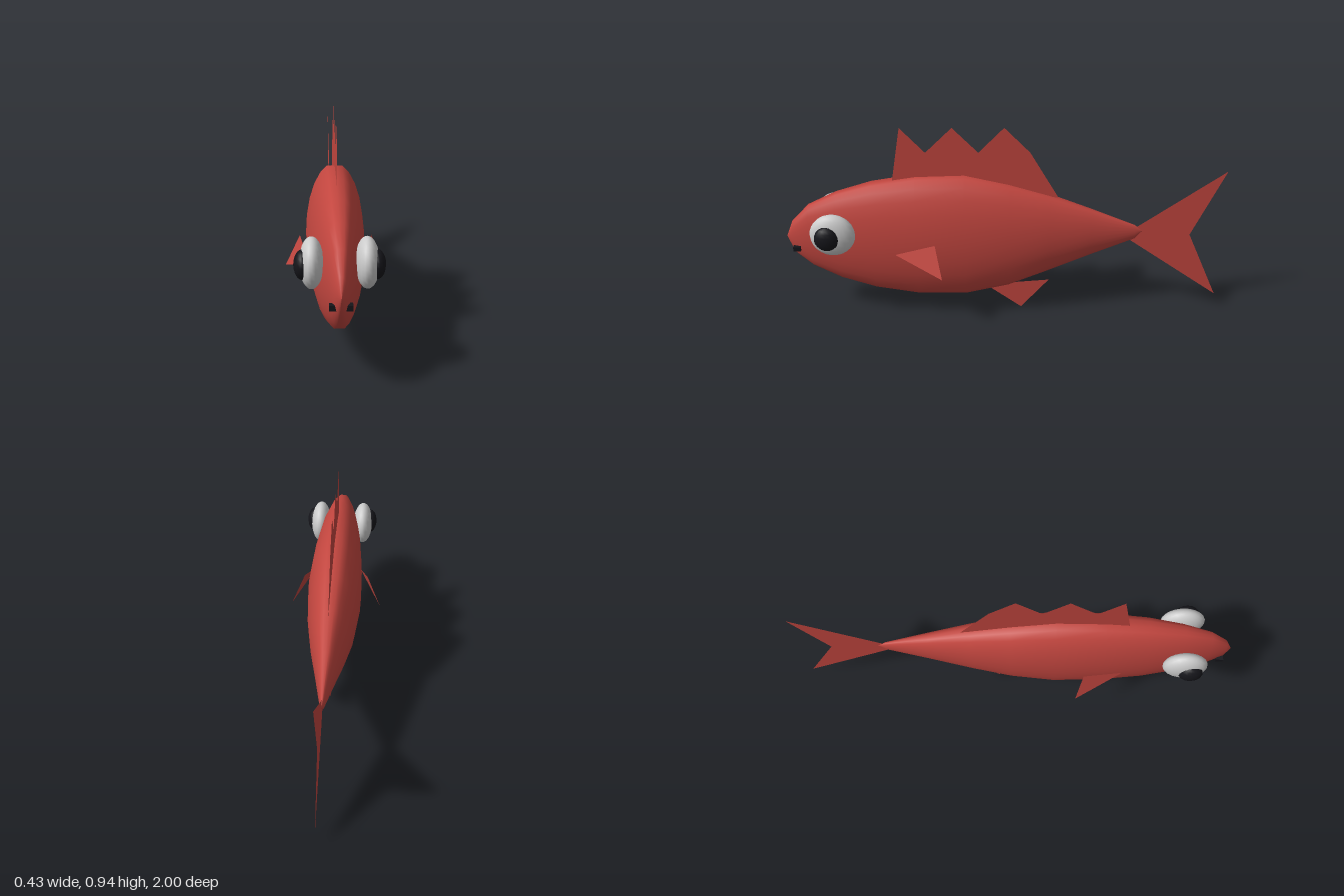
import * as THREE from 'three';

const skin = new THREE.MeshStandardMaterial({ color: 0xc2463f });
const finSkin = new THREE.MeshStandardMaterial({ color: 0xc2463f, side: THREE.DoubleSide });
const white = new THREE.MeshStandardMaterial({ color: 0xe0e0e0 });
const black = new THREE.MeshStandardMaterial({ color: 0x15151a });

function add(parent, name, geometry, material) {
  const mesh = new THREE.Mesh(geometry, material);
  mesh.name = name;
  parent.add(mesh);
  return mesh;
}

// Body lofted from flat-topped oval rings: [z, bottom y, top y, half width]
function bodyGeometry() {
  const rings = [
    [1.0, 0.4, 0.4, 0], [0.97, 0.32, 0.475, 0.026], [0.89, 0.25, 0.558, 0.052],
    [0.76, 0.185, 0.62, 0.08], [0.6, 0.135, 0.668, 0.104], [0.4, 0.103, 0.7, 0.12],
    [0.18, 0.103, 0.707, 0.126], [-0.02, 0.147, 0.66, 0.111], [-0.2, 0.22, 0.605, 0.085],
    [-0.4, 0.303, 0.53, 0.048], [-0.6, 0.382, 0.45, 0.012], [-0.635, 0.42, 0.42, 0],
  ];
  const n = 24, flat = Math.cos(Math.PI / 12);
  const positions = [], index = [];
  rings.forEach(([z, low, high, w], i) => {
    for (let j = 0; j < n; j++) {
      const a = (j / n) * Math.PI * 2;
      const c = THREE.MathUtils.clamp(Math.cos(a) / flat, -1, 1);
      positions.push(w * Math.sin(a), (low + high) / 2 + c * (high - low) / 2, z);
      if (i < rings.length - 1) {
        const p = i * n + j, q = i * n + (j + 1) % n;
        if (i > 0) index.push(p, q, p + n);
        if (i < rings.length - 2) index.push(q, q + n, p + n);
      }
    }
  });
  const g = new THREE.BufferGeometry();
  g.setAttribute('position', new THREE.Float32BufferAttribute(positions, 3));
  g.setIndex(index);
  g.computeVertexNormals();
  return g;
}

// Flat fin in the middle plane from [z, y] corners
function finGeometry(points) {
  const shape = new THREE.Shape(points.map(([z, y]) => new THREE.Vector2(-z, y)));
  return new THREE.ShapeGeometry(shape).rotateY(Math.PI / 2);
}

export function createModel() {
  const fish = new THREE.Group();
  fish.name = 'fish';
  add(fish, 'body', bodyGeometry(), skin);

  // Fins along the middle
  add(fish, 'dorsalFin', finGeometry([
    [0.505, 0.67], [0.46, 0.94], [0.35, 0.82], [0.23, 0.94], [0.115, 0.82],
    [0, 0.94], [-0.115, 0.82], [-0.245, 0.595], [0, 0.62],
  ]), finSkin);
  add(fish, 'tailFin', finGeometry([
    [-0.58, 0.42], [-1, 0.725], [-0.855, 0.4], [-1, 0.075], [-0.57, 0.38],
  ]), finSkin);
  add(fish, 'bellyFin', finGeometry([[0.09, 0.13], [-0.21, 0.155], [-0.08, 0.003]]), finSkin);

  // Paired parts
  for (const s of [1, -1]) {
    const side = s > 0 ? 'left' : 'right';

    const fin = new THREE.BufferGeometry();
    fin.setAttribute('position', new THREE.Float32BufferAttribute([
      s * 0.11, 0.36, 0.495, s * 0.215, 0.29, 0.28, s * 0.153, 0.433, 0.312,
    ], 3));
    fin.setIndex(s > 0 ? [0, 1, 2] : [0, 2, 1]);
    fin.computeVertexNormals();
    add(fish, side + 'SideFin', fin, finSkin);

    const eye = new THREE.Group();
    eye.name = side + 'Eye';
    eye.position.set(s * 0.108, 0.464, 0.772);
    add(eye, 'eyeball', new THREE.SphereGeometry(1, 20, 14), white).scale.set(0.048, 0.102, 0.102);
    const pupil = add(eye, 'pupil', new THREE.SphereGeometry(1, 14, 10), black);
    pupil.position.set(s * 0.036, 0, 0.022);
    pupil.scale.set(0.034, 0.059, 0.056);
    fish.add(eye);

    const nostril = add(fish, side + 'Nostril', new THREE.BoxGeometry(0.034, 0.022, 0.034), black);
    nostril.position.set(s * 0.028, 0.351, 0.953);
  }
  return fish;
}
